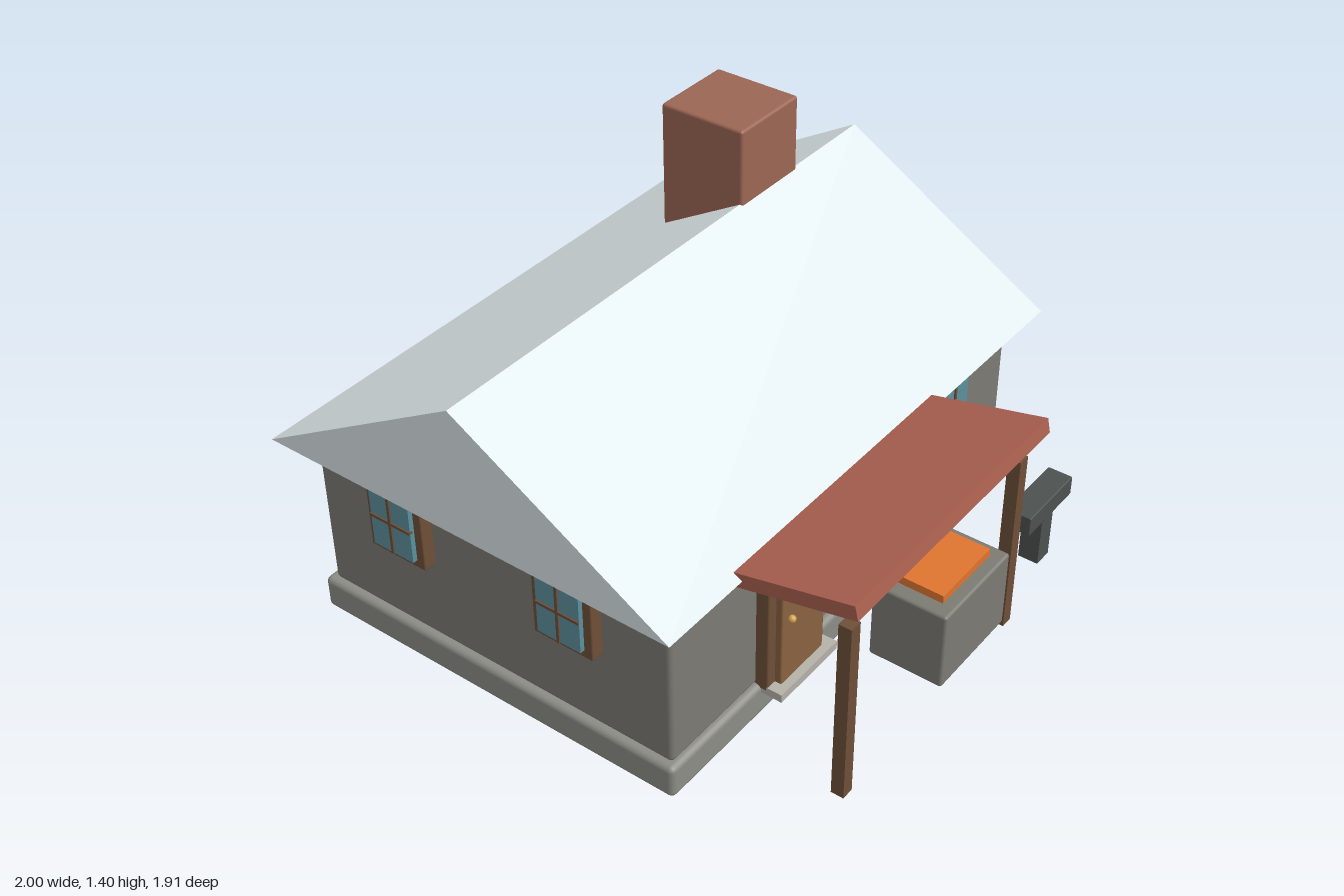
import * as THREE from 'three';
import { RoundedBoxGeometry } from 'three/addons/geometries/RoundedBoxGeometry.js';

const mat = (color) => new THREE.MeshStandardMaterial({ color });
const M = {
  stone: mat(0x8c8d86), wall: mat(0x7c7a73), roof: mat(0xdde7e9), brick: mat(0x9c6654),
  awning: mat(0xaa6050), timber: mat(0x6e4f38), door: mat(0x8a6240), glass: mat(0x5c8f9c),
  brass: mat(0xd0a050), step: mat(0xb4b2a8), counter: mat(0x7c7a73), orange: mat(0xe0752f),
  iron: mat(0x4c5250),
};

// Box given by its extents on each axis; r rounds the edges
function box(name, material, [x0, x1], [y0, y1], [z0, z1], r = 0) {
  const size = [x1 - x0, y1 - y0, z1 - z0];
  const geo = r ? new RoundedBoxGeometry(...size, 2, r) : new THREE.BoxGeometry(...size);
  const mesh = new THREE.Mesh(geo, material);
  mesh.name = name;
  mesh.position.set((x0 + x1) / 2, (y0 + y1) / 2, (z0 + z1) / 2);
  return mesh;
}

// Window built against z = 0, facing +z, centred on x = 0 and y = 0
function makeWindow() {
  const g = new THREE.Group();
  g.name = 'window';
  g.add(
    box('windowFrame', M.timber, [-0.11, 0.11], [-0.145, 0.145], [-0.01, 0.043], 0.005),
    box('windowGlass', M.glass, [-0.08, 0.08], [-0.115, 0.115], [0.03, 0.06]),
    box('verticalBar', M.timber, [-0.005, 0.005], [-0.115, 0.115], [0.05, 0.065]),
    box('horizontalBar', M.timber, [-0.08, 0.08], [-0.005, 0.005], [0.05, 0.065])
  );
  return g;
}

export function createModel() {
  const model = new THREE.Group();
  model.name = 'cottage';

  // House body
  model.add(
    box('foundation', M.stone, [-0.93, 0.93], [0, 0.12], [-0.893, 0.517], 0.02),
    box('walls', M.wall, [-0.903, 0.903], [0.115, 0.69], [-0.867, 0.495], 0.016),
    box('chimney', M.brick, [0.35, 0.65], [0.8, 1.4], [-0.498, -0.182], 0.01)
  );

  // Gable roof: triangular section extruded along x
  const section = new THREE.Shape([
    new THREE.Vector2(-0.57, 0.69), new THREE.Vector2(0.955, 0.69), new THREE.Vector2(0.19, 1.14),
  ]);
  const roofGeo = new THREE.ExtrudeGeometry(section, { depth: 2, bevelEnabled: false });
  roofGeo.translate(0, 0, -1).rotateY(Math.PI / 2);
  const roof = new THREE.Mesh(roofGeo, M.roof);
  roof.name = 'roof';
  model.add(roof);

  // One window on the front, two on the side wall
  const frontWindow = makeWindow();
  frontWindow.position.set(0.488, 0.558, 0.495);
  model.add(frontWindow);
  for (const z of [-0.51, 0.14]) {
    const w = makeWindow();
    w.rotation.y = -Math.PI / 2;
    w.position.set(-0.905, 0.558, z);
    model.add(w);
  }

  // Door with frame, knob and step
  const knob = new THREE.Mesh(new THREE.SphereGeometry(0.013, 16, 10), M.brass);
  knob.name = 'doorKnob';
  knob.position.set(-0.42, 0.367, 0.572);
  model.add(
    box('doorFrame', M.timber, [-0.495, -0.2], [0.105, 0.645], [0.48, 0.54], 0.006),
    box('door', M.door, [-0.457, -0.237], [0.115, 0.618], [0.5, 0.563], 0.006),
    knob,
    box('doorStep', M.step, [-0.495, -0.2], [0.093, 0.123], [0.49, 0.592])
  );

  // Sloping awning on two posts
  const awning = box('awning', M.awning, [-0.67, 0.367], [0.703, 0.753], [0.532, 0.952]);
  awning.rotation.x = -0.222;
  model.add(awning);
  for (const x of [-0.61, 0.302]) {
    model.add(box('awningPost', M.timber, [x - 0.022, x + 0.022], [0.005, 0.666], [0.867, 0.911]));
  }

  // Counter with an orange top
  model.add(
    box('counter', M.counter, [-0.098, 0.278], [0.027, 0.313], [0.645, 0.91], 0.01),
    box('counterTop', M.orange, [-0.045, 0.228], [0.31, 0.342], [0.695, 0.865])
  );

  // Anvil stand
  model.add(
    box('standTop', M.iron, [0.492, 0.765], [0.212, 0.283], [0.775, 0.865], 0.004),
    box('standLeg', M.iron, [0.592, 0.663], [0.022, 0.214], [0.785, 0.857])
  );

  return model;
}
